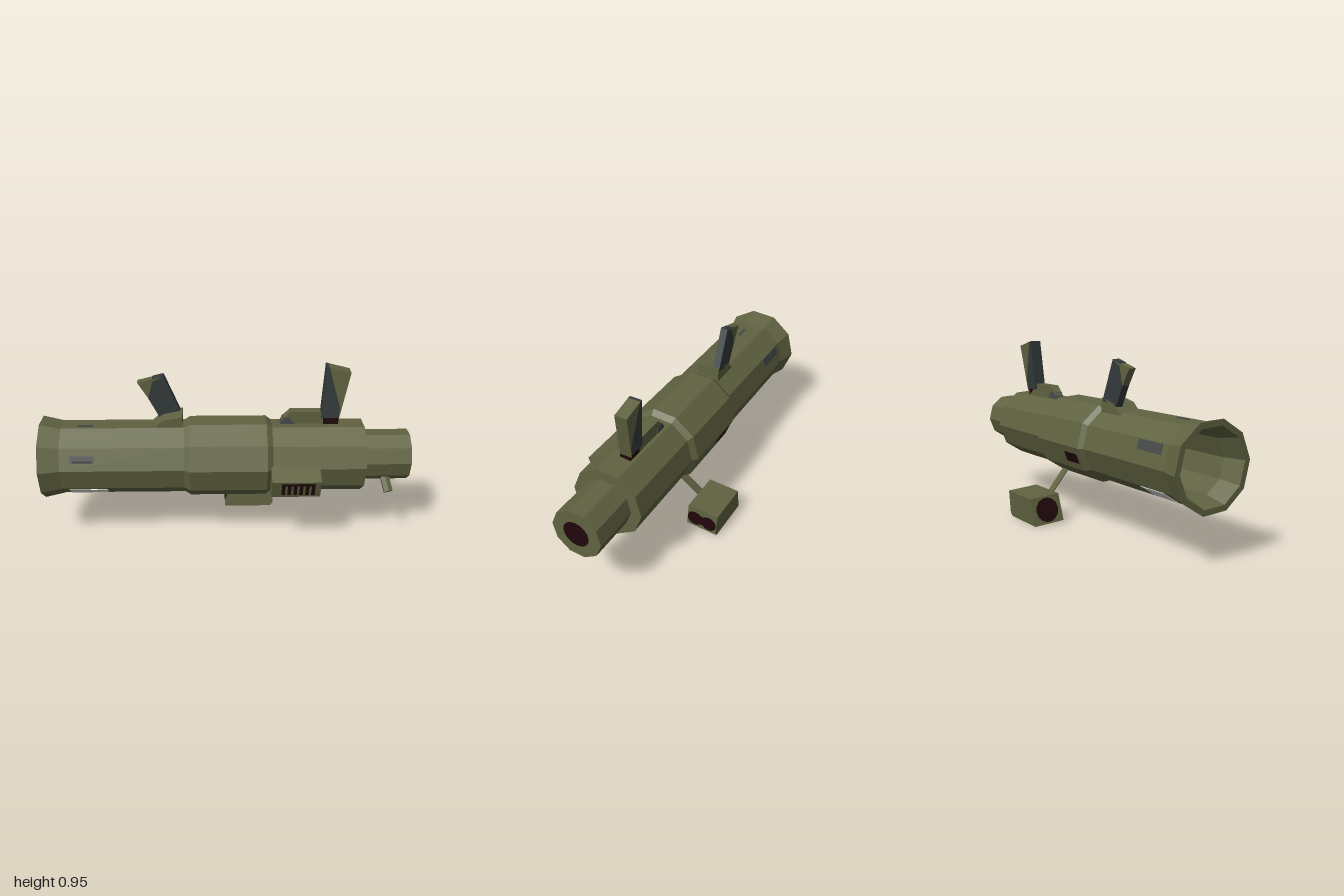
import * as THREE from 'three';

const flat = (name, color) => Object.assign(new THREE.MeshStandardMaterial({ color, flatShading: true }), { name });
const olive = flat('olive', 0x606341);
const darkGrey = flat('dark grey', 0x343b3c);
const patchGrey = flat('patch grey', 0x464b4c);
const lightGrey = flat('light grey', 0xdcdcdc);
const maroon = flat('maroon', 0x20080b);

const AXIS_Y = 0.452;               // height of the tube axis
const rad = THREE.MathUtils.degToRad;
const ROLL = rad(4);

export function createModel() {
  const model = new THREE.Group();
  model.name = 'shoulderLauncher';
  // The launcher lies along local x and is turned slightly about y
  model.rotation.y = 0.173;
  model.position.set(0.004, 0, 0.012);

  const add = (name, geo, mat, parent = model) => {
    const mesh = new THREE.Mesh(geo, mat);
    mesh.name = name;
    parent.add(mesh);
    return mesh;
  };

  // Flat outline in (x, y), extruded between two z values
  const slab = (pts, z0, z1) => {
    const shape = new THREE.Shape(pts.map(([x, y]) => new THREE.Vector2(x, y)));
    return new THREE.ExtrudeGeometry(shape, { depth: z1 - z0, bevelEnabled: false }).translate(0, 0, z0);
  };

  // Thin plate whose normal points at the given angle in the (z, y) plane
  const plate = (name, x, y, z, w, h, angle, mat) => {
    const mesh = add(name, new THREE.BoxGeometry(w, h, 0.004), mat);
    mesh.position.set(x, y, z);
    mesh.rotation.x = -angle;
    return mesh;
  };

  // Plate lying on one facet of the ten-sided tube
  const facetPlate = (name, deg, radius, x, w, h, mat, shift = 0, lift = 0.001) => {
    const a = rad(deg), r = radius * Math.cos(Math.PI / 10) + lift;
    return plate(name, x, AXIS_Y + r * Math.sin(a) + shift * Math.cos(a),
      r * Math.cos(a) - shift * Math.sin(a), w, h, a, mat);
  };

  // Ten-sided tube: hollow flared muzzle, collar, rear body and end pipe
  const profile = [
    [0, -0.25], [0.165, -0.25], [0.165, -0.87], [0.192, -0.98], [0.222, -0.98],
    [0.197, -0.87], [0.197, -0.22], [0.215, -0.19], [0.215, 0.215], [0.193, 0.245],
    [0.193, 0.735], [0.136, 0.735], [0.136, 0.985], [0, 0.985],
  ].map(([r, s]) => new THREE.Vector2(r, s));
  const tube = add('tube', new THREE.LatheGeometry(profile, 10, -ROLL).rotateZ(-Math.PI / 2), olive);
  tube.position.y = AXIS_Y;

  // Dark port on the closed end
  const port = add('endPort', new THREE.CircleGeometry(0.071, 16).rotateY(Math.PI / 2), maroon);
  port.position.set(0.988, AXIS_Y + 0.003, 0);

  // Front sight: sloped base and leaning two-tone blade
  add('frontSightBase', slab([[-0.40, 0.62], [-0.23, 0.62], [-0.23, 0.697], [-0.335, 0.677]], -0.09, 0.035), olive);
  add('frontSightBlade',
    slab([[-0.355, 0.66], [-0.237, 0.68], [-0.325, 0.895], [-0.385, 0.865], [-0.41, 0.77]], -0.09, -0.05), darkGrey);
  add('frontSightHood', slab([[-0.41, 0.77], [-0.385, 0.865], [-0.325, 0.895], [-0.465, 0.86]], -0.09, -0.05), olive);
  add('frontSightTop', slab([[-0.385, 0.88], [-0.325, 0.895], [-0.326, 0.898], [-0.386, 0.883]], -0.09, -0.05), darkGrey);

  // Rear sight: long low base, foot and upright blade leaning to the far side
  const lean = (geo) => {
    const p = geo.attributes.position;
    for (let i = 0; i < p.count; i++) p.setZ(i, p.getZ(i) - (p.getY(i) - 0.65) * 0.075);
    return geo;
  };
  add('rearSightBase', slab([[0.29, 0.62], [0.61, 0.62], [0.50, 0.705], [0.345, 0.705], [0.30, 0.66]], -0.055, -0.005), olive);
  add('rearSightBaseMark', slab([[0.29, 0.635], [0.365, 0.635], [0.345, 0.67], [0.308, 0.67]], -0.057, -0.003), patchGrey);
  add('rearSightFoot', slab([[0.52, 0.63], [0.60, 0.63], [0.60, 0.672], [0.52, 0.672]], -0.055, 0.004), maroon);
  add('rearSightBlade',
    lean(slab([[0.508, 0.67], [0.60, 0.67], [0.607, 0.72], [0.54, 0.95], [0.527, 0.953]], -0.063, 0.004)), darkGrey);
  add('rearSightHood', lean(slab([[0.60, 0.655], [0.654, 0.921], [0.54, 0.95], [0.607, 0.72]], -0.063, 0.004)), olive);

  // Vent box on the front side, with a row of slots on its slanted face
  const ventOutline = [[-0.285, 0.44], [-0.25, 0.335], [-0.14, 0.335], [-0.14, 0.488], [-0.17, 0.488]];
  add('ventBox', slab(ventOutline, 0.235, 0.49).rotateY(Math.PI / 2), olive);
  const ventAngle = Math.atan2(-0.035, 0.105);
  for (let i = 0; i < 6; i++)
    plate('ventSlot', 0.295 + i * 0.031, 0.389, 0.2682, 0.018, 0.08, ventAngle, maroon);
  plate('ventSlotRail', 0.3725, 0.423, 0.2797, 0.173, 0.014, ventAngle, maroon);

  // Tracker box hung below the far side, with dark lenses at both ends
  const tracker = new THREE.Group();
  tracker.name = 'tracker';
  tracker.position.set(0.142, 0.078, -0.275);
  tracker.rotation.x = -0.07;
  model.add(tracker);
  add('trackerBox', slab([[-0.143, -0.072], [0.12, -0.072], [0.138, -0.055], [0.138, 0.072], [-0.105, 0.072]],
    -0.087, 0.087), olive, tracker);
  for (const z of [-0.041, 0.041])
    add('trackerLens', new THREE.CircleGeometry(0.045, 12).rotateY(Math.PI / 2), maroon, tracker)
      .position.set(0.141, 0.002, z);
  add('trackerLensBridge', new THREE.PlaneGeometry(0.08, 0.06).rotateY(Math.PI / 2), maroon, tracker)
    .position.set(0.1405, 0.002, 0);
  add('trackerRearLens', new THREE.CircleGeometry(0.066, 14).rotateY(-Math.PI / 2).rotateZ(-0.257),
    maroon, tracker).position.set(-0.128, 0.001, 0);

  // Thin strut holding the tracker
  const strut = add('trackerStrut', slab([[0.11, 0], [0.16, 0], [0.19, 0.21], [0.14, 0.21]], -0.003, 0.003), olive);
  strut.position.set(0, 0.125, -0.198);
  strut.rotation.x = 0.78;

  // Small knob under the end pipe, bare metal on its underside
  const between = (name, makeGeo, a, b, mat) => {
    const p = new THREE.Vector3(...a), q = new THREE.Vector3(...b);
    const mesh = add(name, makeGeo(p.distanceTo(q)), mat);
    mesh.position.copy(p).lerp(q, 0.5);
    mesh.quaternion.setFromUnitVectors(new THREE.Vector3(0, 1, 0), q.sub(p).normalize());
  };
  between('knob', (len) => new THREE.CylinderGeometry(0.026, 0.026, len, 6), [0.877, 0.29, 0.13], [0.855, 0.375, 0.06], olive);
  between('knobPlate', (len) => new THREE.BoxGeometry(0.03, len, 0.006), [0.877, 0.275, 0.111], [0.862, 0.335, 0.062], lightGrey);

  // Worn patches and labels painted on the tube facets
  facetPlate('frontLabel', 22, 0.197, -0.752, 0.125, 0.04, patchGrey);
  facetPlate('frontLabelStripe', 22, 0.197, -0.75, 0.10, 0.01, maroon, -0.012, 0.002);
  facetPlate('backLabel', 166, 0.197, -0.745, 0.175, 0.05, patchGrey, -0.033);
  facetPlate('topLabel', 94, 0.197, -0.745, 0.08, 0.018, patchGrey, -0.03);
  facetPlate('frontWornPatch', 310, 0.197, -0.735, 0.20, 0.085, lightGrey, -0.01);
  facetPlate('bottomWornPatch', 274, 0.197, -0.735, 0.15, 0.055, lightGrey, 0.03);
  facetPlate('backWornPatch', 238, 0.197, -0.73, 0.17, 0.105, lightGrey, -0.006);
  facetPlate('rearWornPatch', 310, 0.193, 0.30, 0.125, 0.085, lightGrey, -0.008);
  facetPlate('collarMark', 202, 0.215, -0.10, 0.115, 0.055, maroon);

  return model;
}
